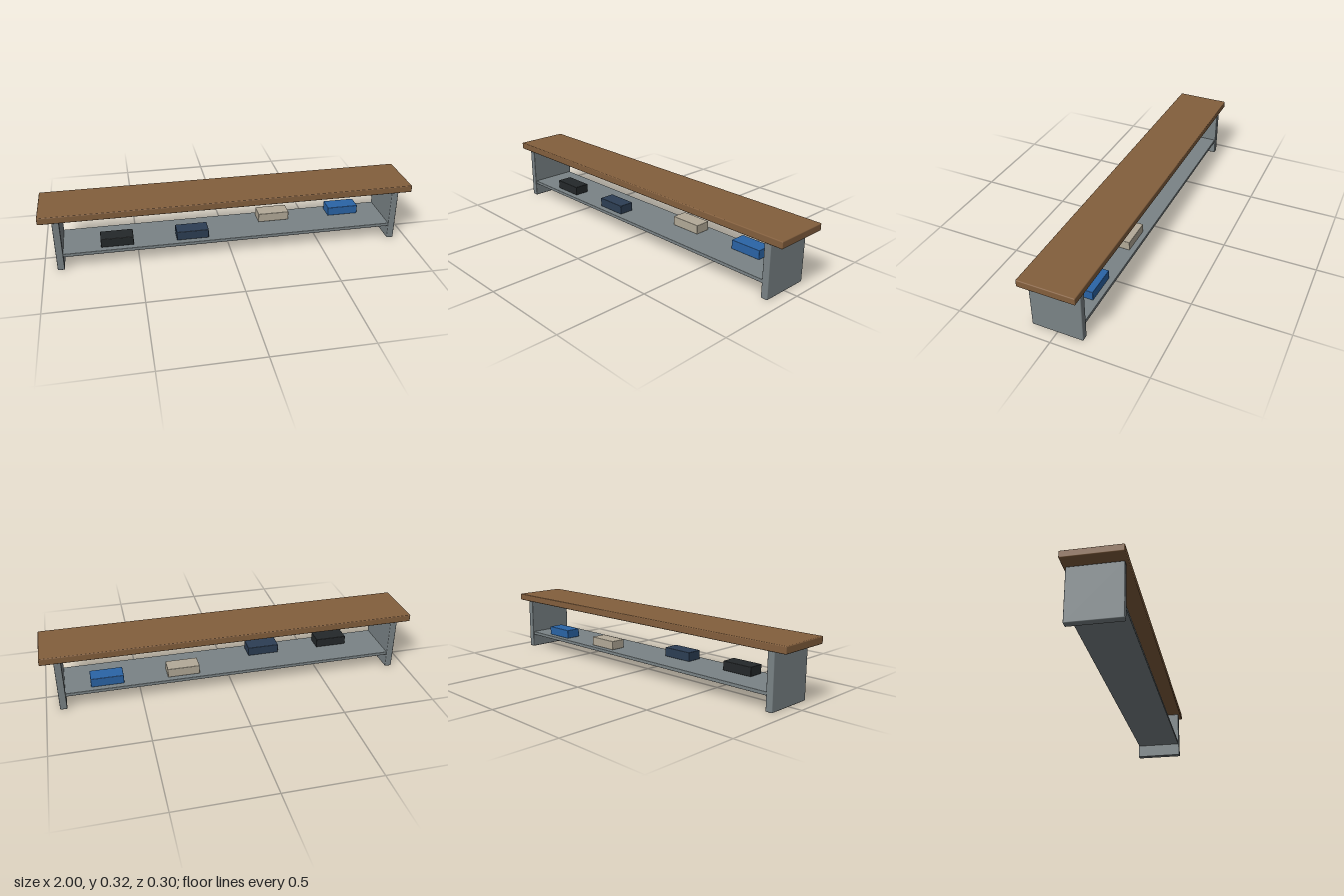
import * as THREE from 'three';
import { RoundedBoxGeometry } from 'three/addons/geometries/RoundedBoxGeometry.js';

const paint = (color) => new THREE.MeshStandardMaterial({ color });

// Softly edged block, placed by its centre in x and z and by its underside in y
function block(name, [w, h, d], [x, y, z], material, radius = 0.005) {
  const mesh = new THREE.Mesh(new RoundedBoxGeometry(w, h, d, 2, radius), material);
  mesh.name = name;
  mesh.position.set(x, y + h / 2, z);
  return mesh;
}

export function createModel() {
  const bench = new THREE.Group();
  bench.name = 'storageBench';
  const wood = paint(0x835f3d);
  const grey = paint(0x7a8386);

  // Long wooden seat board
  bench.add(block('seat', [2, 0.038, 0.296], [0, 0.287, 0], wood));

  // Solid panel at each end
  for (const [name, side] of [['leftEndPanel', 1], ['rightEndPanel', -1]]) {
    bench.add(block(name, [0.037, 0.285, 0.27], [side * 0.912, 0, 0], grey));
  }

  // Thin shelf spanning between the panels
  bench.add(block('shelf', [1.8, 0.018, 0.26], [0, 0.075, 0], grey, 0.002));

  // Coloured boxes standing on the shelf, two towards the front and two towards the back
  const boxes = [
    ['blackBox', -0.61, 0.056, 0x24282a],
    ['navyBox', -0.207, 0.056, 0x2c3e54],
    ['beigeBox', 0.267, -0.058, 0xb3aa98],
    ['blueBox', 0.673, -0.058, 0x2a64a6],
  ];
  for (const [name, x, z, color] of boxes) {
    bench.add(block(name, [0.173, 0.049, 0.086], [x, 0.093, z], paint(color), 0.003));
  }

  return bench;
}
